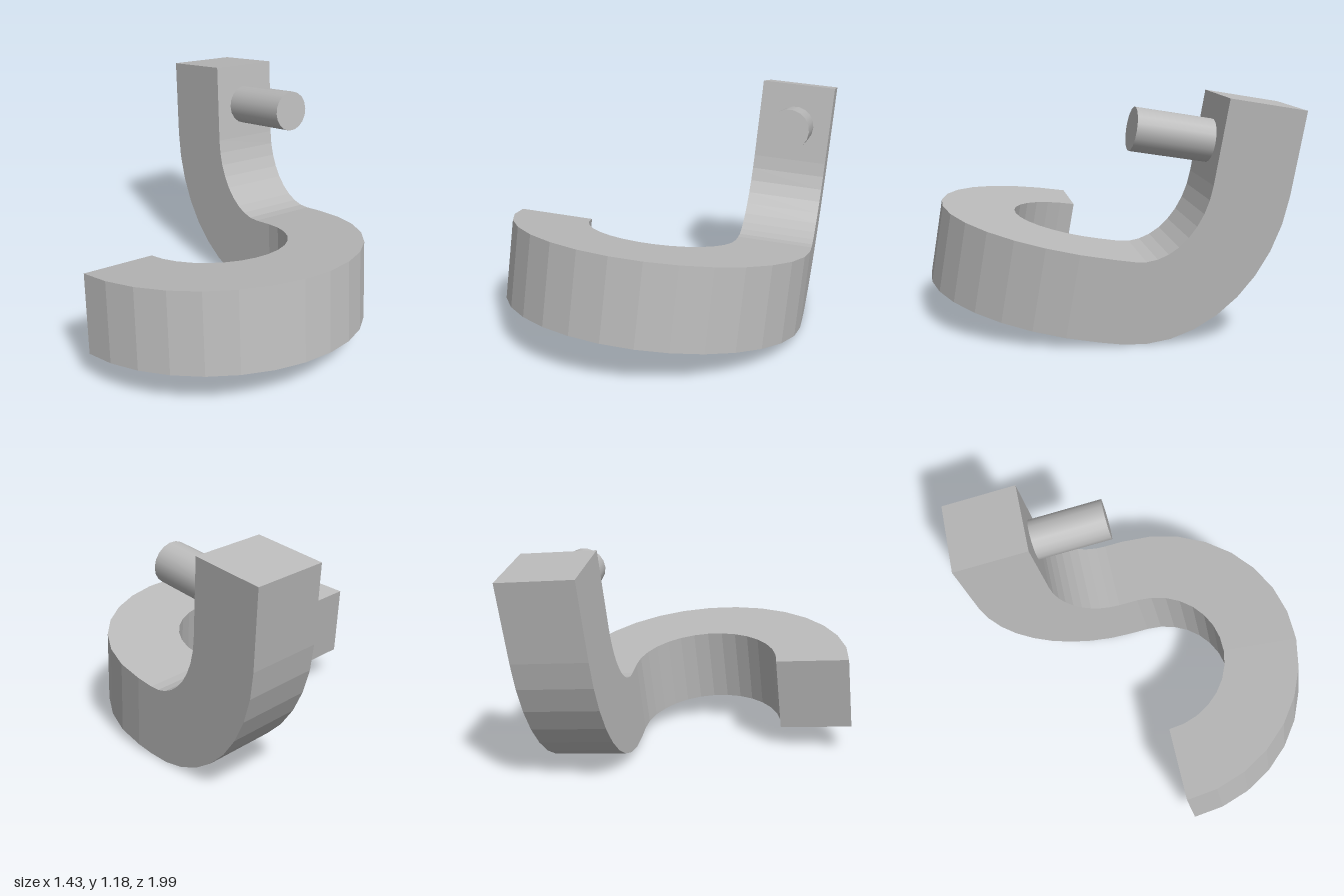
import * as THREE from 'three';

const grey = new THREE.MeshStandardMaterial({ color: 0xbababa });
grey.name = 'plain grey';

const deg = Math.PI / 180;
const centre = { x: -0.04, z: 0.262 };   // centre of the hook arc
const rIn = 0.38, rOut = 0.76;           // hook radii
const yLow = 0.044, yHigh = 0.444, yTop = 1.247;
const endAngle = -28 * deg;              // where the arc runs into the shank
const along = new THREE.Vector3(Math.sin(endAngle), 0, -Math.cos(endAngle));

// Point at a radius and angle of the arc, pushed t along the shank direction
function point(r, angle, y, t = 0) {
  return new THREE.Vector3(
    centre.x + r * Math.cos(angle), y, centre.z + r * Math.sin(angle)
  ).addScaledVector(along, t);
}

// Four-cornered section: inner bottom, outer bottom, outer top, inner top
function section(angle, low, high) {
  return [
    point(rIn, angle, low.y, low.t), point(rOut, angle, low.y, low.t),
    point(rOut, angle, high.y, high.t), point(rIn, angle, high.y, high.t),
  ];
}

function loft(sections) {
  const pos = [];
  const quad = (a, b, c, d) => [a, b, c, a, c, d].forEach(p => pos.push(p.x, p.y, p.z));
  for (let i = 0; i < sections.length - 1; i++) {
    const s = sections[i], n = sections[i + 1];
    for (let k = 0; k < 4; k++) {
      const j = (k + 1) % 4;
      quad(s[k], n[k], n[j], s[j]);
    }
  }
  quad(...sections[0]);
  quad(...[...sections[sections.length - 1]].reverse());
  const geo = new THREE.BufferGeometry();
  geo.setAttribute('position', new THREE.Float32BufferAttribute(pos, 3));
  geo.computeVertexNormals();
  return geo;
}

export function createModel() {
  const model = new THREE.Group();
  model.name = 'hook';
  const tilted = new THREE.Group();
  tilted.name = 'tiltedHook';
  tilted.rotation.x = -10.1 * deg;
  model.add(tilted);

  // Half-circle hook
  const sections = [];
  for (let i = 0; i <= 15; i++) {
    sections.push(section(152 * deg - i * 12 * deg, { y: yLow, t: 0 }, { y: yHigh, t: 0 }));
  }
  // Bend sweeping up into the shank
  const start = 0.1, steps = 9;
  for (let i = 0; i <= steps; i++) {
    const a = (i / steps) * Math.PI / 2, s = Math.sin(a), c = 1 - Math.cos(a);
    sections.push(section(endAngle,
      { y: yLow + 0.8 * c, t: start + 0.68 * s },
      { y: yHigh + 0.4 * c, t: start + 0.3 * s }));
  }
  // Upright shank
  sections.push(section(endAngle, { y: yTop, t: start + 0.68 }, { y: yTop, t: start + 0.3 }));
  const body = new THREE.Mesh(loft(sections), grey);
  body.name = 'hookBody';
  tilted.add(body);

  // Peg standing out from the shank's front face
  const length = 0.42;
  const peg = new THREE.Mesh(new THREE.CylinderGeometry(0.104, 0.104, length, 18), grey);
  peg.name = 'peg';
  peg.quaternion.setFromUnitVectors(new THREE.Vector3(0, 1, 0), along.clone().negate());
  peg.position.copy(point((rIn + rOut) / 2, endAngle, 1.026, 0.4 - 0.38 + length / 2));
  tilted.add(peg);

  return model;
}
